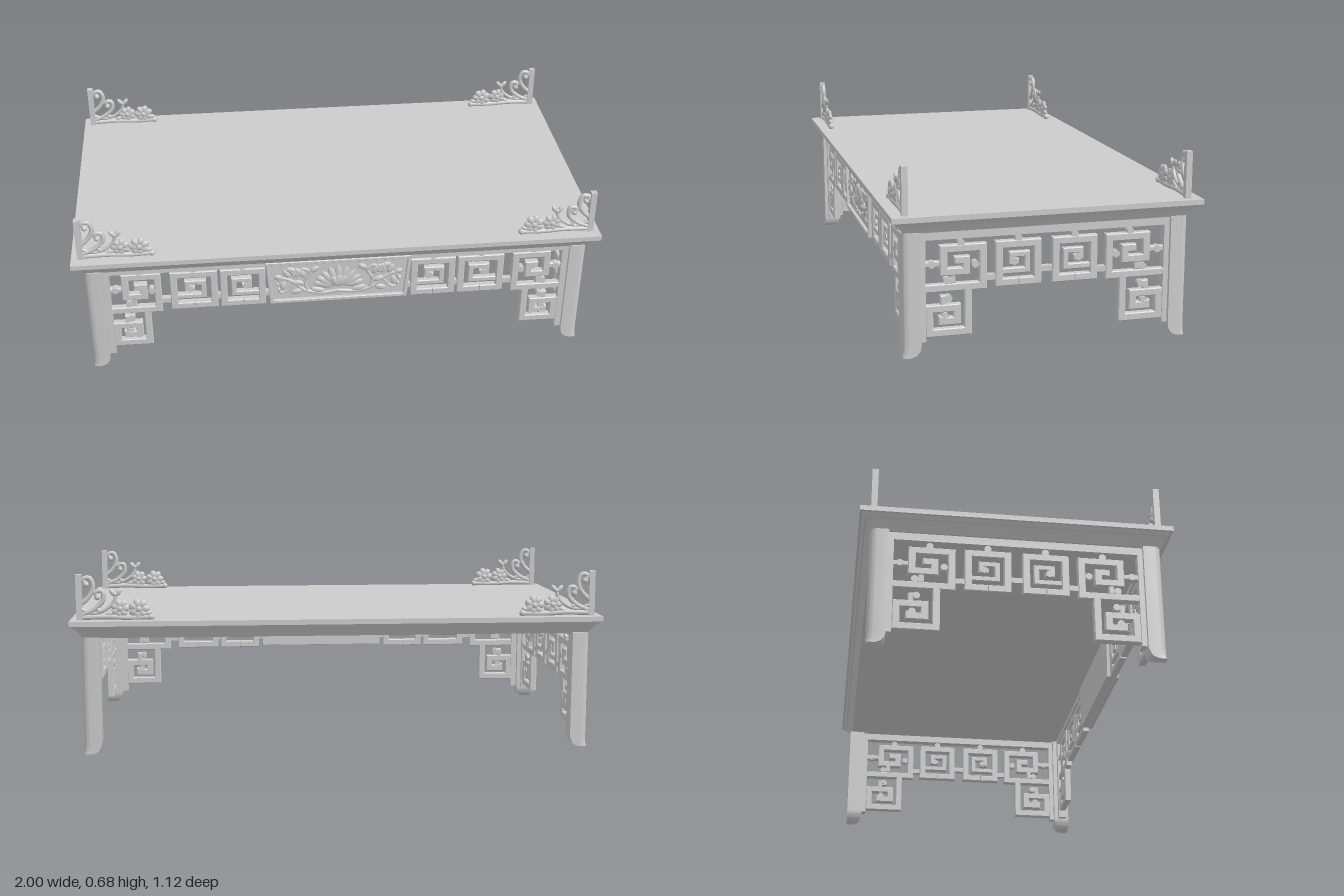
import * as THREE from 'three';
import { toCreasedNormals } from 'three/addons/utils/BufferGeometryUtils.js';

const mat = new THREE.MeshStandardMaterial({ color: 0xcccccc, side: THREE.DoubleSide });

function add(parent, name, geo, x = 0, y = 0, z = 0) {
  const m = new THREE.Mesh(geo, mat);
  m.name = name;
  m.position.set(x, y, z);
  parent.add(m);
  return m;
}

function group(parent, name) {
  const g = new THREE.Group();
  g.name = name;
  parent.add(g);
  return g;
}

// Flat bar of constant width along an angular path, with mitred corners
function barShape(pts, w) {
  const normals = pts.slice(1).map((p, i) => {
    const d = new THREE.Vector2().subVectors(p, pts[i]).normalize();
    return new THREE.Vector2(-d.y, d.x);
  });
  const left = [], right = [];
  pts.forEach((p, i) => {
    const a = normals[Math.max(i - 1, 0)], b = normals[Math.min(i, normals.length - 1)];
    const m = a.clone().add(b).multiplyScalar(w / 2 / (1 + a.dot(b)));
    left.push(p.clone().add(m));
    right.unshift(p.clone().sub(m));
  });
  return new THREE.Shape([...left, ...right]);
}

const extrude = (shape, depth, bevel = 0.003) => new THREE.ExtrudeGeometry(shape, {
  depth: depth - 2 * bevel, bevelEnabled: true, bevelSize: bevel, bevelOffset: -bevel,
  bevelThickness: bevel, bevelSegments: 1, curveSegments: 8,
}).translate(0, 0, bevel);

// Fretwork units in a unit square: u runs inward from the leg, v runs up
const FRETS = {
  corner: {
    bars: [[[-0.05, 0.08], [0.92, 0.08], [0.92, 0.92], [0.29, 0.92], [0.29, 0.42], [0.65, 0.42], [0.65, 0.66], [0.46, 0.66]]],
    thin: [[[-0.05, 0.6], [0.29, 0.6]], [[0.44, 0.42], [0.44, 0.22], [0.34, 0.22]]],
    knobs: [[0.1, 0.6], [0.8, 0.55], [0.57, 1.04], [0.34, 0.23]],
  },
  middle: {
    bars: [[[0.5, 0.08], [0.92, 0.08], [0.92, 0.92], [0.08, 0.92], [0.08, 0.08], [0.5, 0.08]]],
    thin: [[[0.08, 0.32], [0.7, 0.32], [0.7, 0.68], [0.36, 0.68], [0.36, 0.52], [0.52, 0.52]]],
    knobs: [[0.5, 1.05], [0.42, 0.53]],
  },
  bracket: {
    bars: [[[0.92, 1.05], [0.92, 0.08], [0.08, 0.08], [0.08, 0.62], [0.68, 0.62], [0.68, 0.33], [0.36, 0.33], [0.36, 0.45]]],
    thin: [[[-0.05, 0.35], [0.08, 0.35]], [[0.38, 0.62], [0.38, 0.84], [0.52, 0.84]]],
    knobs: [[0.5, 0.83], [0.42, 0.44]],
  },
};
const DEPTH = 0.028;

function addFret(parent, kind, s, [outer, inner, low, high]) {
  const g = group(parent, kind + 'Fret');
  const at = ([u, v]) => new THREE.Vector2(s * (outer + (inner - outer) * u), low + (high - low) * v);
  const f = FRETS[kind];
  for (const p of f.bars) add(g, 'fretBar', extrude(barShape(p.map(at), 0.027), DEPTH));
  for (const p of f.thin) add(g, 'fretHook', extrude(barShape(p.map(at), 0.02), DEPTH - 0.004));
  for (const k of f.knobs) {
    const p = at(k);
    add(g, 'fretKnob', new THREE.CylinderGeometry(0.013, 0.013, DEPTH - 0.002, 14).rotateX(Math.PI / 2), p.x, p.y, DEPTH / 2);
  }
}

// Apron of one side: rail, stiles, fret units on both halves and the links between them
function addApron(parent, name, stile, railLow, frets, links) {
  const g = group(parent, name);
  add(g, 'topRail', new THREE.BoxGeometry(stile * 2 + 0.04, 0.447 - railLow, DEPTH + 0.006), 0, (0.447 + railLow) / 2, DEPTH / 2);
  for (const s of [-1, 1]) {
    add(g, 'stile', new THREE.BoxGeometry(0.024, 0.39, DEPTH + 0.006), s * (stile + 0.01), 0.245, DEPTH / 2);
    for (const [kind, rect] of frets) addFret(g, kind, s, rect);
    for (const [a, b, y] of links) add(g, 'link', new THREE.BoxGeometry(b - a, 0.02, DEPTH - 0.006), s * (a + b) / 2, y, DEPTH / 2);
  }
  return g;
}

// Flattened leaf or petal pointing along an angle from its root
function addPetal(parent, name, x, y, z, angle, len, wid, thick) {
  const geo = new THREE.SphereGeometry(1, 12, 8).scale(len / 2, wid / 2, thick / 2).translate(len / 2, 0, 0).rotateZ(angle);
  add(parent, name, geo, x, y, z);
}

function addVine(parent, s, pts, r, flat = 1, z = 0) {
  const curve = new THREE.CatmullRomCurve3(pts.map(([x, y]) => new THREE.Vector3(s * x, y, 0)));
  add(parent, 'vine', new THREE.TubeGeometry(curve, 28, r, 8).scale(1, 1, flat), 0, 0, z);
  const [ex, ey] = pts[pts.length - 1];
  add(parent, 'vineTip', new THREE.SphereGeometry(r * 1.3, 10, 8).scale(1, 1, flat), s * ex, ey, z);
}

function addRosette(parent, x, y, z, r, thick) {
  for (let i = 0; i < 7; i++) addPetal(parent, 'petal', x, y, z, i * Math.PI * 2 / 7 + 0.4, r, r * 0.75, thick);
  add(parent, 'flowerHeart', new THREE.SphereGeometry(r * 0.38, 12, 8).scale(1, 1, 0.9), x, y, z);
}

// Carved corner piece standing on the top
function addCornerCarving(parent, s, z) {
  const g = group(parent, 'cornerCarving');
  g.position.z = z;
  add(g, 'carvingPost', new THREE.BoxGeometry(0.022, 0.17, 0.022), s * 0.964, 0.595, 0);
  addVine(g, s, [[0.958, 0.57], [0.93, 0.595], [0.912, 0.635], [0.925, 0.667], [0.948, 0.662], [0.938, 0.643]], 0.009);
  addVine(g, s, [[0.955, 0.53], [0.91, 0.55], [0.876, 0.585], [0.88, 0.617], [0.902, 0.615], [0.897, 0.595]], 0.009);
  addVine(g, s, [[0.955, 0.55], [0.92, 0.535], [0.87, 0.548], [0.835, 0.58], [0.83, 0.605]], 0.007);
  addVine(g, s, [[0.955, 0.52], [0.86, 0.522], [0.78, 0.518], [0.7, 0.52]], 0.01);
  for (const [x, y, a] of [[0.83, 0.598, 0.9], [0.83, 0.598, 2.2], [0.88, 0.535, 0.7], [0.93, 0.6, 2.4], [0.87, 0.525, 2.7], [0.73, 0.53, 2.9]])
    addPetal(g, 'leaf', s * x, y, 0, s > 0 ? a : Math.PI - a, 0.035, 0.018, 0.016);
  addRosette(g, s * 0.815, 0.552, 0, 0.037, 0.018);
  addRosette(g, s * 0.745, 0.55, 0, 0.04, 0.02);
}

// Centre panel with raised border and lotus relief
function addCentrePanel(parent) {
  const g = group(parent, 'centrePanel');
  const outline = (c, d) => c.setFromPoints([[-0.28 + d, 0.44 - d], [-0.265 + d, 0.25 + d], [0.265 - d, 0.25 + d], [0.28 - d, 0.44 - d]].map(p => new THREE.Vector2(...p)));
  const border = outline(new THREE.Shape(), 0);
  border.holes.push(outline(new THREE.Path(), 0.014));
  add(g, 'panelField', extrude(outline(new THREE.Shape(), 0.002), 0.037, 0.001), 0, 0, 0.465);
  add(g, 'panelBorder', extrude(border, 0.02, 0.002), 0, 0, 0.495);
  const relief = group(g, 'lotusRelief');
  relief.position.z = 0.503;
  for (let i = -4; i <= 4; i++) addPetal(relief, 'lotusPetal', i * 0.005, 0.315, 0.002, Math.PI / 2 - i * 0.34, 0.095 - Math.abs(i) * 0.004, 0.03, 0.016);
  for (let i = -1; i <= 1; i++) addPetal(relief, 'innerPetal', 0, 0.312, 0.006, Math.PI / 2 - i * 0.5, 0.06, 0.03, 0.016);
  for (const s of [-1, 1]) {
    addVine(relief, s, [[0, 0.29], [0.06, 0.284], [0.13, 0.3], [0.18, 0.345], [0.215, 0.36], [0.235, 0.335]], 0.007);
    addVine(relief, s, [[0.12, 0.297], [0.13, 0.34], [0.11, 0.38], [0.135, 0.4], [0.155, 0.385]], 0.006);
    addVine(relief, s, [[0.17, 0.335], [0.2, 0.3], [0.225, 0.295], [0.23, 0.31]], 0.005);
    for (const [x, y, a, l] of [[0.05, 0.29, 0.25, 0.06], [0.13, 0.33, 0.2, 0.05], [0.13, 0.36, 1.0, 0.05], [0.16, 0.39, 0.3, 0.045], [0.19, 0.36, 1.1, 0.045], [0.215, 0.36, 0.3, 0.035], [0.14, 0.3, -0.2, 0.045], [0.21, 0.345, -1.4, 0.04], [0.11, 0.385, 2.6, 0.04]])
      addPetal(relief, 'leaf', s * x, y, 0.001, s > 0 ? a : Math.PI - a, l, 0.024, 0.014);
    addRosette(relief, s * 0.165, 0.385, 0.002, 0.022, 0.014);
  }
}

// Square leg, rounded on the outside, with the foot curving in from the inner faces
function legGeometry() {
  const w = 0.066, r = 0.03;
  const s = new THREE.Shape();
  s.moveTo(-w, 0);
  s.lineTo(-r, 0);
  s.quadraticCurveTo(0, 0, 0, r);
  s.lineTo(0, w);
  s.lineTo(-w, w);
  const geo = new THREE.ExtrudeGeometry(s, { depth: 0.445, steps: 60, bevelEnabled: false, curveSegments: 8 }).rotateX(-Math.PI / 2);
  const p = geo.attributes.position;
  for (let i = 0; i < p.count; i++) {
    const t = 1 - Math.min(Math.max(p.getY(i), 0) / 0.048, 1);
    const k = 0.45 + 0.55 * Math.sqrt(1 - t * t);
    p.setX(i, p.getX(i) * k);
    p.setZ(i, p.getZ(i) * k);
  }
  return toCreasedNormals(geo, 0.6);
}

export function createModel() {
  const root = new THREE.Group();
  root.name = 'lowTable';

  // Top and stepped moulding: [inset below, inset above, y below, y above]
  const top = group(root, 'tableTop');
  for (const [a, b, y0, y1] of [[0, 0, 0.491, 0.51], [0.018, 0.008, 0.478, 0.491], [0.032, 0.022, 0.464, 0.478], [0.047, 0.032, 0.442, 0.464]]) {
    const geo = new THREE.BoxGeometry(2, y1 - y0, 1.12);
    const p = geo.attributes.position;
    for (let i = 0; i < p.count; i++) {
      const inset = p.getY(i) < 0 ? a : b;
      p.setX(i, p.getX(i) * (1 - inset));
      p.setZ(i, p.getZ(i) * (1 - inset / 0.56));
    }
    geo.computeVertexNormals();
    add(top, 'topLayer', geo, 0, (y0 + y1) / 2, 0);
  }

  // Legs
  const leg = legGeometry();
  for (const [sx, sz, turn] of [[1, 1, 0], [1, -1, 1], [-1, -1, 2], [-1, 1, 3]])
    add(root, 'leg', leg, sx * 0.96, 0, sz * 0.52).rotation.y = turn * Math.PI / 2;

  // Front apron; the rear is open
  addApron(root, 'frontApron', 0.872, 0.42, [
    ['corner', [0.87, 0.675, 0.235, 0.415]],
    ['middle', [0.645, 0.462, 0.243, 0.412]],
    ['middle', [0.28, 0.454, 0.243, 0.412]],
    ['bracket', [0.87, 0.725, 0.083, 0.235]],
  ], [[0.64, 0.685, 0.285], [0.44, 0.475, 0.29], [0.26, 0.29, 0.29]]).position.z = 0.475;
  addCentrePanel(root);

  // Side aprons
  for (const s of [-1, 1]) {
    const side = addApron(root, 'sideApron', 0.437, 0.413, [
      ['corner', [0.435, 0.213, 0.226, 0.39]],
      ['middle', [0.186, 0.02, 0.23, 0.392]],
      ['bracket', [0.435, 0.27, 0.065, 0.226]],
    ], [[0.18, 0.22, 0.265], [0, 0.025, 0.282]]);
    side.rotation.y = s * Math.PI / 2;
    side.position.x = s * 0.915;
  }

  // Corner carvings
  for (const s of [-1, 1]) for (const z of [-0.51, 0.51]) addCornerCarving(root, s, z);
  return root;
}
